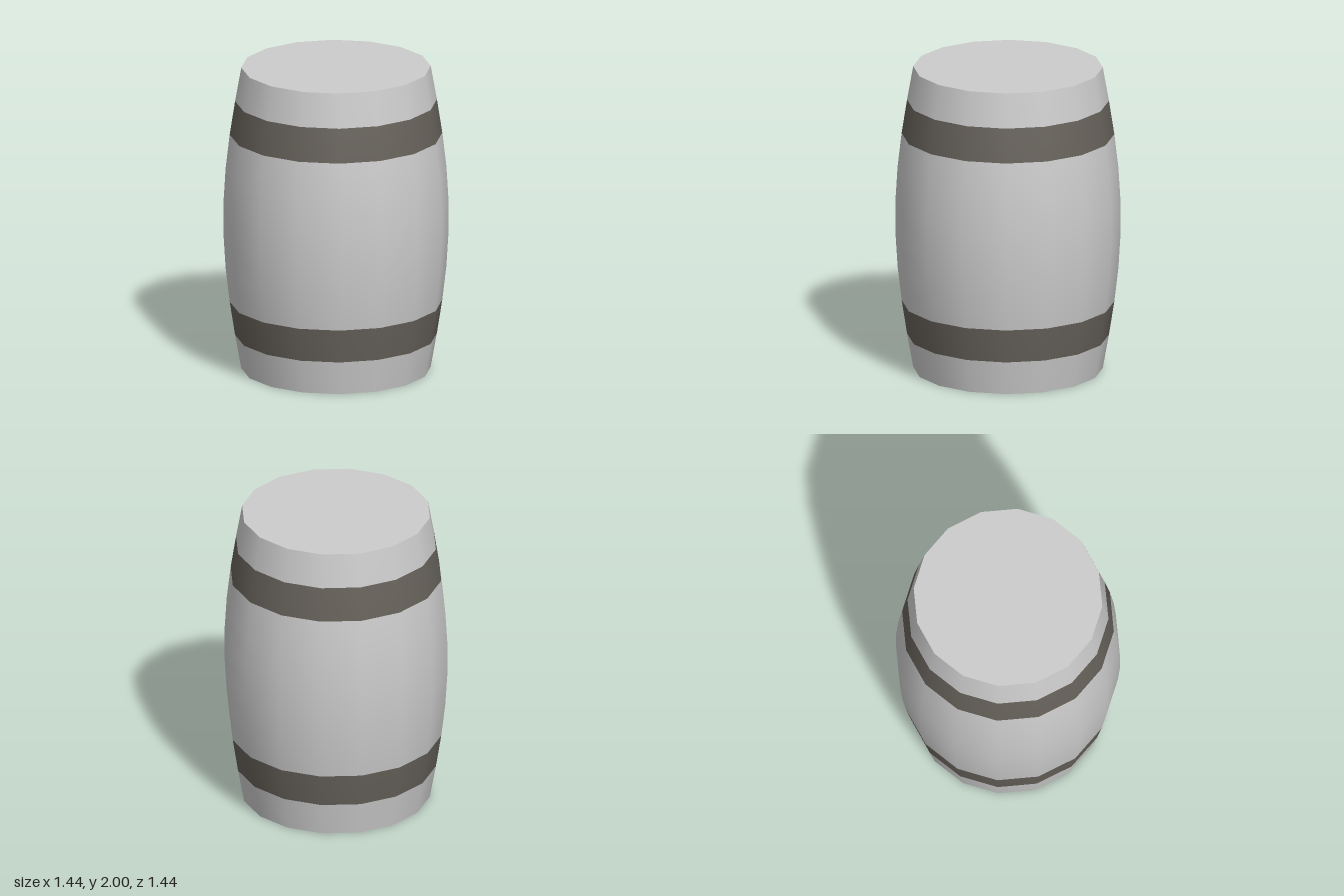
import * as THREE from 'three';

const SIDES = 16, ROWS = 9, HEIGHT = 2;
const END_R = 0.605, BULGE = 0.115;

// Barrel radius and its slope at height y
const radius = (y) => END_R + BULGE * Math.sin((Math.PI * y) / HEIGHT);
const slope = (y) => BULGE * (Math.PI / HEIGHT) * Math.cos((Math.PI * y) / HEIGHT);

// Wall section between two rows, with normals that run smoothly across sections
function wallSection(from, to) {
  const points = [];
  for (let i = from; i <= to; i++) {
    const y = (i / ROWS) * HEIGHT;
    points.push(new THREE.Vector2(radius(y), y));
  }
  const geo = new THREE.LatheGeometry(points, SIDES);
  const { position, normal } = geo.attributes;
  const n = new THREE.Vector3();
  for (let i = 0; i < position.count; i++) {
    const y = position.getY(i), r = radius(y);
    n.set(position.getX(i) / r, -slope(y), position.getZ(i) / r).normalize();
    normal.setXYZ(i, n.x, n.y, n.z);
  }
  return geo;
}

export function createModel() {
  const barrel = new THREE.Group();
  barrel.name = 'barrel';
  const wood = new THREE.MeshStandardMaterial({ color: 0xcccccc });
  const iron = new THREE.MeshStandardMaterial({ color: 0x66615a });

  const add = (name, geometry, material) => {
    const mesh = new THREE.Mesh(geometry, material);
    mesh.name = name;
    barrel.add(mesh);
    return mesh;
  };

  // Staves and the two flush hoops, bottom to top
  add('lowerStaves', wallSection(0, 1), wood);
  add('lowerHoop', wallSection(1, 2), iron);
  add('middleStaves', wallSection(2, 7), wood);
  add('upperHoop', wallSection(7, 8), iron);
  add('upperStaves', wallSection(8, 9), wood);

  // Flat ends
  const end = new THREE.CircleGeometry(END_R, SIDES);
  const lid = add('lid', end, wood);
  lid.rotation.x = -Math.PI / 2;
  lid.position.y = HEIGHT;
  add('base', end, wood).rotation.x = Math.PI / 2;

  return barrel;
}
